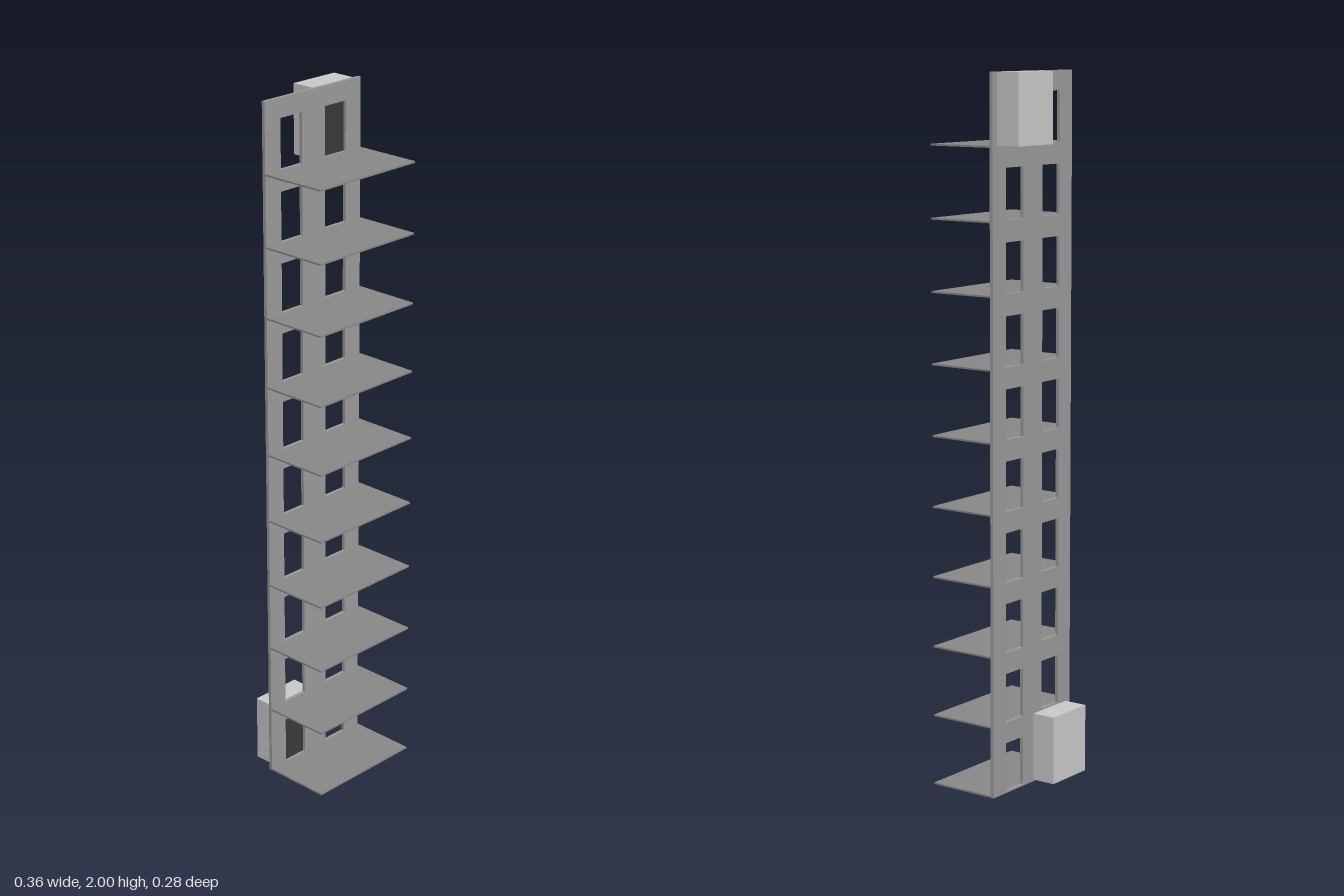
import * as THREE from 'three';

const STOREYS = 10, PITCH = 0.2, SLAB = 0.005;
const HALF_W = 0.182, DOOR_X = 0.084, DOOR_W = 0.08, DOOR_TOP = 0.145;
const WALL_BACK = -0.07, WALL_FRONT = -0.06, FRONT = 0.14;

const paint = (color) => new THREE.MeshStandardMaterial({ color });

function box(name, material, [x0, x1], [y0, y1], [z0, z1]) {
  const mesh = new THREE.Mesh(new THREE.BoxGeometry(x1 - x0, y1 - y0, z1 - z0), material);
  mesh.position.set((x0 + x1) / 2, (y0 + y1) / 2, (z0 + z1) / 2);
  mesh.name = name;
  return mesh;
}

function rectangle(path, x0, x1, y0, y1) {
  path.moveTo(x0, y0);
  path.lineTo(x1, y0);
  path.lineTo(x1, y1);
  path.lineTo(x0, y1);
  path.closePath();
  return path;
}

export function createModel() {
  const group = new THREE.Group();
  group.name = 'liftTower';
  const wallPaint = paint(0x9c9c9c), floorPaint = paint(0x8a8a8a);
  const carPaint = paint(0xcccccc), doorPaint = paint(0x3a3a3a);

  // Tall wall pierced by two doorways per storey
  const outline = rectangle(new THREE.Shape(), -HALF_W, HALF_W, 0, STOREYS * PITCH);
  for (let i = 0; i < STOREYS; i++) {
    for (const side of [-1, 1]) {
      const x = side * DOOR_X, y = i * PITCH;
      outline.holes.push(rectangle(new THREE.Path(), x - DOOR_W / 2, x + DOOR_W / 2, y + SLAB, y + DOOR_TOP));
    }
  }
  const wall = new THREE.Mesh(
    new THREE.ExtrudeGeometry(outline, { depth: WALL_FRONT - WALL_BACK, bevelEnabled: false }), wallPaint);
  wall.position.z = WALL_BACK;
  wall.name = 'shaftWall';
  group.add(wall);

  // Landing slab in front of the wall at every storey
  for (let i = 0; i < STOREYS; i++) {
    group.add(box('landing' + (i + 1), floorPaint,
      [-HALF_W, HALF_W], [i * PITCH, i * PITCH + SLAB], [WALL_FRONT, FRONT]));
  }

  // Lift cars behind the wall, each with a dark door filling its doorway
  const addLift = (name, x, y) => {
    const lift = new THREE.Group();
    lift.name = name;
    lift.add(box('car', carPaint, [x - 0.078, x + 0.078], [y + SLAB, y + PITCH], [-0.14, WALL_BACK]));
    lift.add(box('door', doorPaint,
      [x - DOOR_W / 2, x + DOOR_W / 2], [y + SLAB, y + DOOR_TOP], [WALL_BACK, WALL_BACK + 0.002]));
    group.add(lift);
  };
  addLift('rightLift', -DOOR_X, 0);
  addLift('leftLift', DOOR_X, (STOREYS - 1) * PITCH);

  return group;
}
